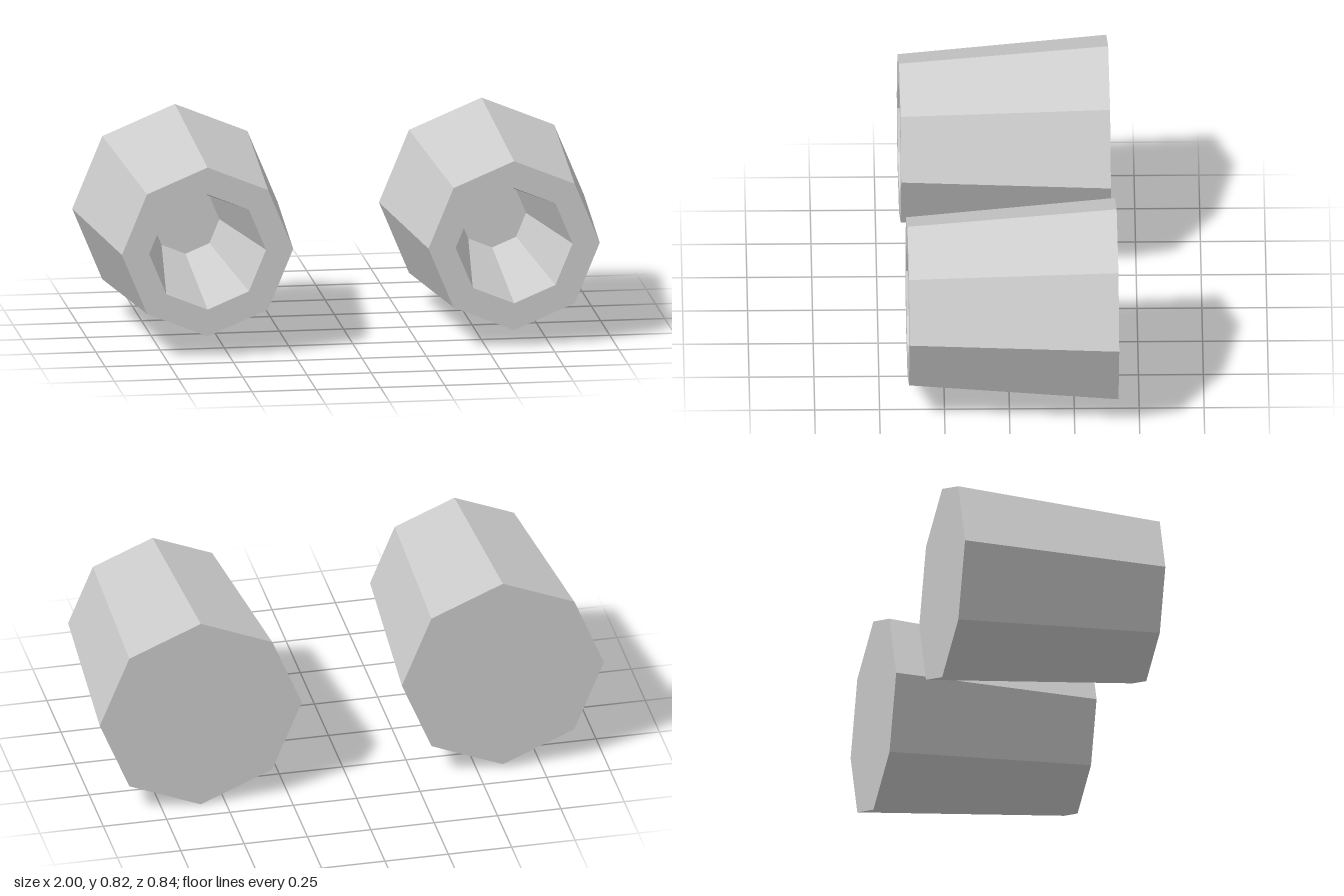
import * as THREE from 'three';

// Closed profile of one pod along its axis: back cap, tapered wall, rim, bore, bore floor
const PROFILE = [
  [0, -0.403], [0.4, -0.403], [0.334, 0.403], [0.228, 0.403], [0.132, -0.14], [0, -0.14],
].map(([r, a]) => new THREE.Vector2(r, a));

function makePod(name, x, y, z, yaw) {
  const geometry = new THREE.LatheGeometry(PROFILE, 8);
  geometry.rotateX(Math.PI / 2); // axis runs along z, opening to the front
  const material = new THREE.MeshStandardMaterial({ color: 0xcccccc, flatShading: true });
  const pod = new THREE.Mesh(geometry, material);
  pod.name = name;
  pod.position.set(x, y, z);
  pod.rotation.y = yaw;
  return pod;
}

export function createModel() {
  const group = new THREE.Group();
  group.name = 'nozzlePair';
  // The two octagonal nozzles sit slightly uneven and turned a little
  group.add(makePod('rightNozzle', -0.594, 0.424, 0.007, 0.015));
  group.add(makePod('leftNozzle', 0.602, 0.405, -0.012, 0.014));
  return group;
}
